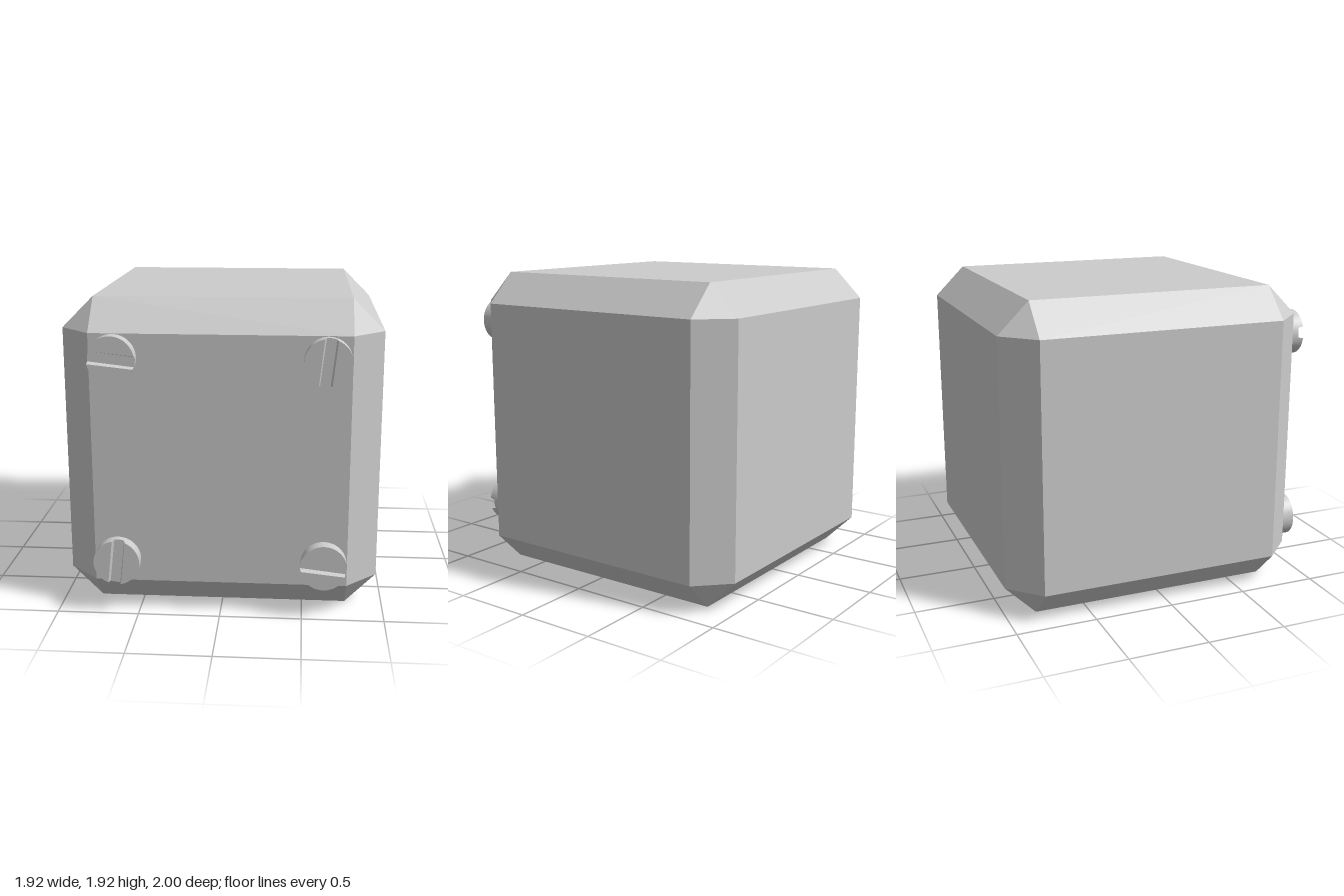
import * as THREE from 'three';
import { toCreasedNormals } from 'three/addons/utils/BufferGeometryUtils.js';
import { ConvexGeometry } from 'three/addons/geometries/ConvexGeometry.js';

const material = new THREE.MeshStandardMaterial({ color: 0xcccccc });
const HALF = 0.96, FLAT = 0.77;
const R = 0.14, FLOOR = 0.045, HEIGHT = 0.08;
const SLOT_FLOOR = 0.03, SLOT_TOP = 0.04;

function mesh(name, geometry) {
  const m = new THREE.Mesh(geometry, material);
  m.name = name;
  return m;
}

// Cube with every edge and corner chamfered
function chamferedCube() {
  const points = [];
  for (const sx of [-1, 1]) for (const sy of [-1, 1]) for (const sz of [-1, 1])
    for (let axis = 0; axis < 3; axis++) {
      const d = [FLAT, FLAT, FLAT];
      d[axis] = HALF;
      points.push(new THREE.Vector3(sx * d[0], sy * d[1], sz * d[2]));
    }
  return new ConvexGeometry(points);
}

// Half of the screw head beside the slot, with a sloping slot wall
function headHalf() {
  const a = Math.asin(SLOT_FLOOR / R);
  const shape = new THREE.Shape();
  shape.absarc(0, 0, R, a, Math.PI - a, false);
  const geometry = new THREE.ExtrudeGeometry(shape, {
    depth: HEIGHT - FLOOR, bevelEnabled: false, curveSegments: 24,
  });
  const p = geometry.attributes.position;
  for (let i = 0; i < p.count; i++) {
    if (p.getZ(i) > 0.001 && Math.abs(p.getY(i) - SLOT_FLOOR) < 0.001) {
      p.setXY(i, Math.sign(p.getX(i)) * Math.sqrt(R * R - SLOT_TOP * SLOT_TOP), SLOT_TOP);
    }
  }
  return toCreasedNormals(geometry, 0.5);
}

// Slotted screw head pointing along +z, slot along x
function screw(name) {
  const group = new THREE.Group();
  group.name = name;
  const base = new THREE.CylinderGeometry(R, R, FLOOR, 56).rotateX(Math.PI / 2);
  base.translate(0, 0, FLOOR / 2);
  group.add(mesh('screwBase', base));
  const half = headHalf();
  for (const turn of [0, Math.PI]) {
    const m = mesh('screwHeadHalf', half);
    m.position.z = FLOOR;
    m.rotation.z = turn;
    group.add(m);
  }
  return group;
}

export function createModel() {
  const model = new THREE.Group();
  model.name = 'chamferedBlock';

  const body = mesh('body', chamferedCube());
  body.position.set(0, HALF, -0.04);
  model.add(body);

  // Screws at the four front corners, slots alternating by a quarter turn
  for (const sx of [-1, 1]) for (const sy of [-1, 1]) {
    const s = screw((sy > 0 ? 'upper' : 'lower') + (sx > 0 ? 'Left' : 'Right') + 'Screw');
    s.position.set(sx * 0.627, HALF + sy * 0.627, 0.92);
    s.rotation.z = -0.115 + (sx === sy ? Math.PI / 2 : 0);
    model.add(s);
  }
  return model;
}
